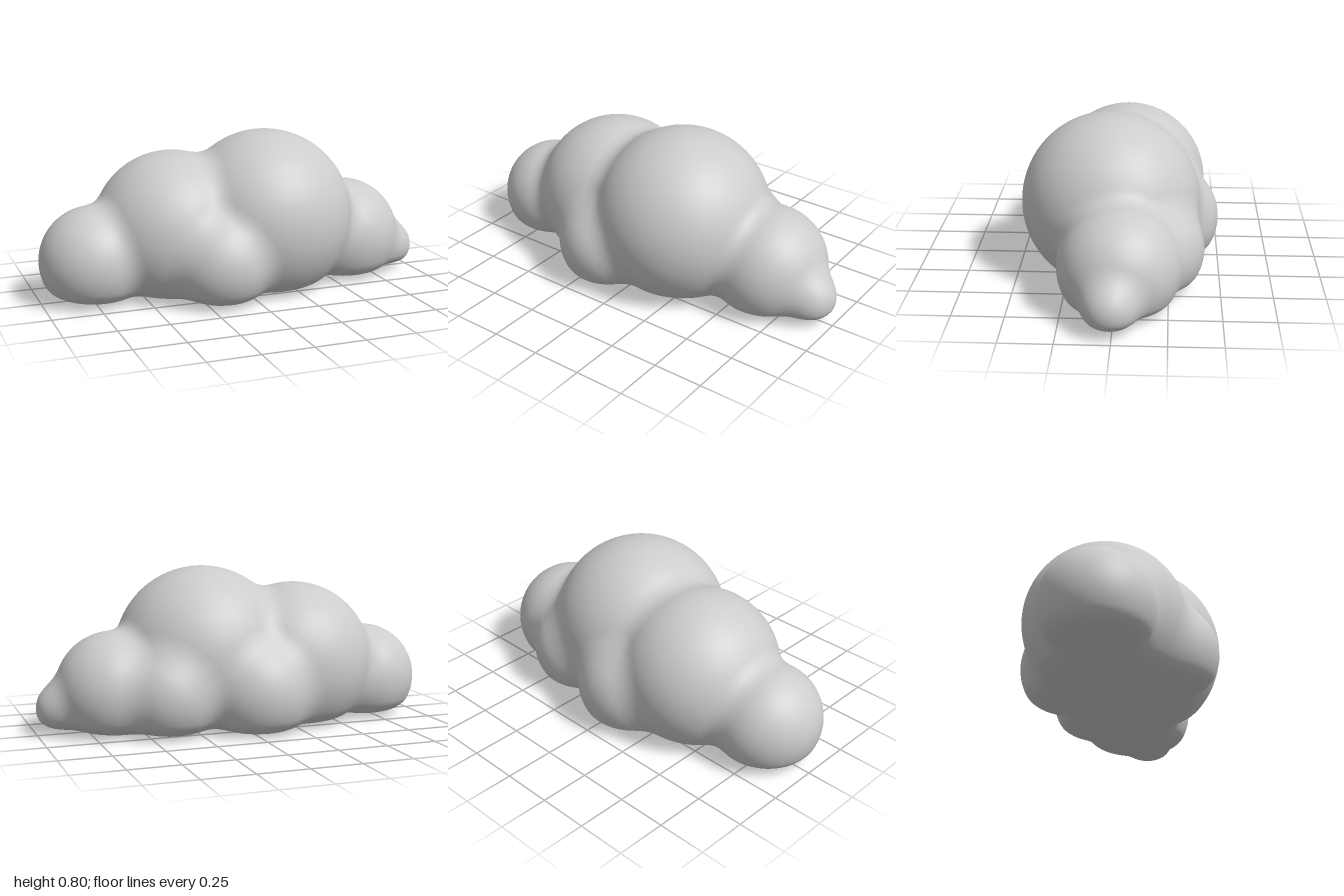
import * as THREE from 'three';

// Puffs of the cloud: x, y, z, radius
const PUFFS = [
  [-0.73, 0.20, 0.00, 0.27],   // end puff
  [-0.32, 0.31, -0.03, 0.40],  // second dome
  [0.15, 0.36, 0.04, 0.44],    // main dome
  [-0.16, 0.20, 0.25, 0.25],   // front bulge
  [-0.05, 0.20, -0.22, 0.28],  // back bulge
  [0.38, 0.20, -0.16, 0.26],   // back side bulge
  [0.62, 0.21, -0.02, 0.29],   // opposite end puff
  [0.87, 0.13, 0.01, 0.13],    // small tip
];

// Minimum of two distances with a rounded transition of width k
function smoothMin(a, b, k) {
  const h = Math.max(k - Math.abs(a - b), 0) / k;
  return Math.min(a, b) - h * h * k * 0.25;
}

// Signed distance to the blended puffs, cut by a slightly bowed floor
function cloudDistance(p) {
  let d = Infinity;
  for (const [x, y, z, r] of PUFFS) {
    d = smoothMin(d, Math.hypot(p.x - x, p.y - y, p.z - z) - r, 0.07);
  }
  const floor = 0.004 + 0.015 * p.x * p.x - p.y;
  return -smoothMin(-d, -floor, 0.08);
}

// Surface direction from the slope of the distance
function cloudNormal(p) {
  const e = 0.004;
  const slope = (axis) => {
    const a = p.clone(), b = p.clone();
    a[axis] += e;
    b[axis] -= e;
    return cloudDistance(a) - cloudDistance(b);
  };
  return new THREE.Vector3(slope('x'), slope('y'), slope('z')).normalize();
}

// Shrink-wrap a sphere onto the cloud, with rays leaving a central spine
function cloudGeometry() {
  const geometry = new THREE.SphereGeometry(1, 220, 140);
  const position = geometry.attributes.position;
  const normal = geometry.attributes.normal;
  const dir = new THREE.Vector3(), start = new THREE.Vector3(), p = new THREE.Vector3();
  for (let i = 0; i < position.count; i++) {
    dir.fromBufferAttribute(position, i).normalize();
    start.set(0.65 * dir.x, 0.2, 0);
    let t = 1.2;
    for (let step = 0; step < 80; step++) {
      p.copy(start).addScaledVector(dir, t);
      const d = cloudDistance(p);
      if (Math.abs(d) < 0.0003) break;
      t -= d * 0.9;
    }
    position.setXYZ(i, p.x, p.y, p.z);
    const n = cloudNormal(p);
    normal.setXYZ(i, n.x, n.y, n.z);
  }
  return geometry;
}

export function createModel() {
  const group = new THREE.Group();
  group.name = 'cloud';
  const cloudGrey = new THREE.MeshStandardMaterial({ color: 0xcccccc });
  cloudGrey.name = 'cloud grey';
  const body = new THREE.Mesh(cloudGeometry(), cloudGrey);
  body.name = 'cloudBody';
  group.add(body);
  return group;
}
